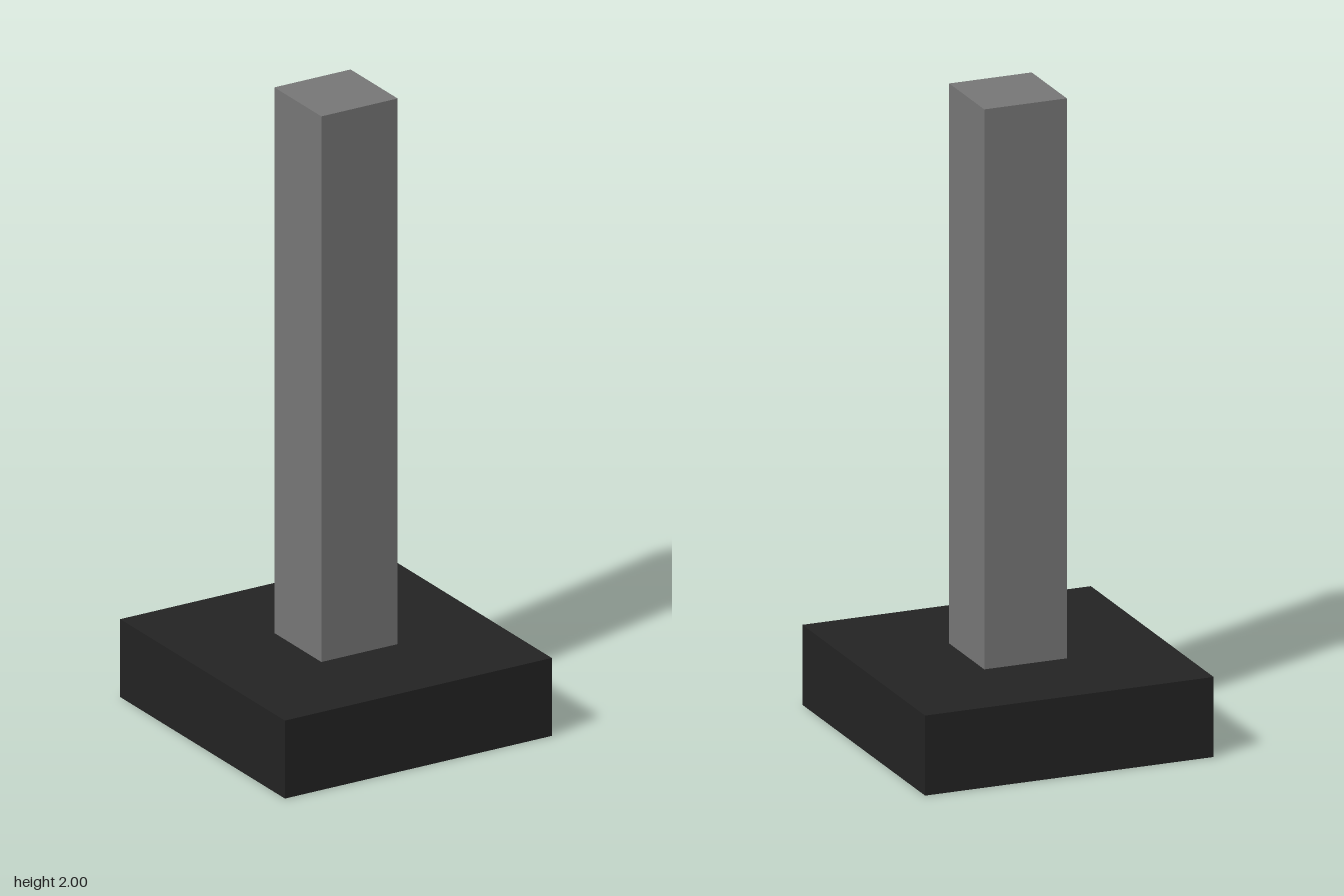
import * as THREE from 'three';

const BASE_HEIGHT = 0.25;
const TOTAL_HEIGHT = 2;

export function createModel() {
  const model = new THREE.Group();
  model.name = 'postOnBase';

  const darkBase = new THREE.MeshStandardMaterial({ color: 0x232323 });
  darkBase.name = 'charcoal';
  const greyPost = new THREE.MeshStandardMaterial({ color: 0x777777 });
  greyPost.name = 'midGrey';

  // Square block standing between two heights
  function addBlock(name, width, bottom, top, material) {
    const mesh = new THREE.Mesh(new THREE.BoxGeometry(width, top - bottom, width), material);
    mesh.name = name;
    mesh.position.y = (bottom + top) / 2;
    model.add(mesh);
  }

  // Wide foot slab
  addBlock('base', 0.93, 0, BASE_HEIGHT, darkBase);
  // Tall square post
  addBlock('post', 0.266, BASE_HEIGHT, TOTAL_HEIGHT, greyPost);

  return model;
}
